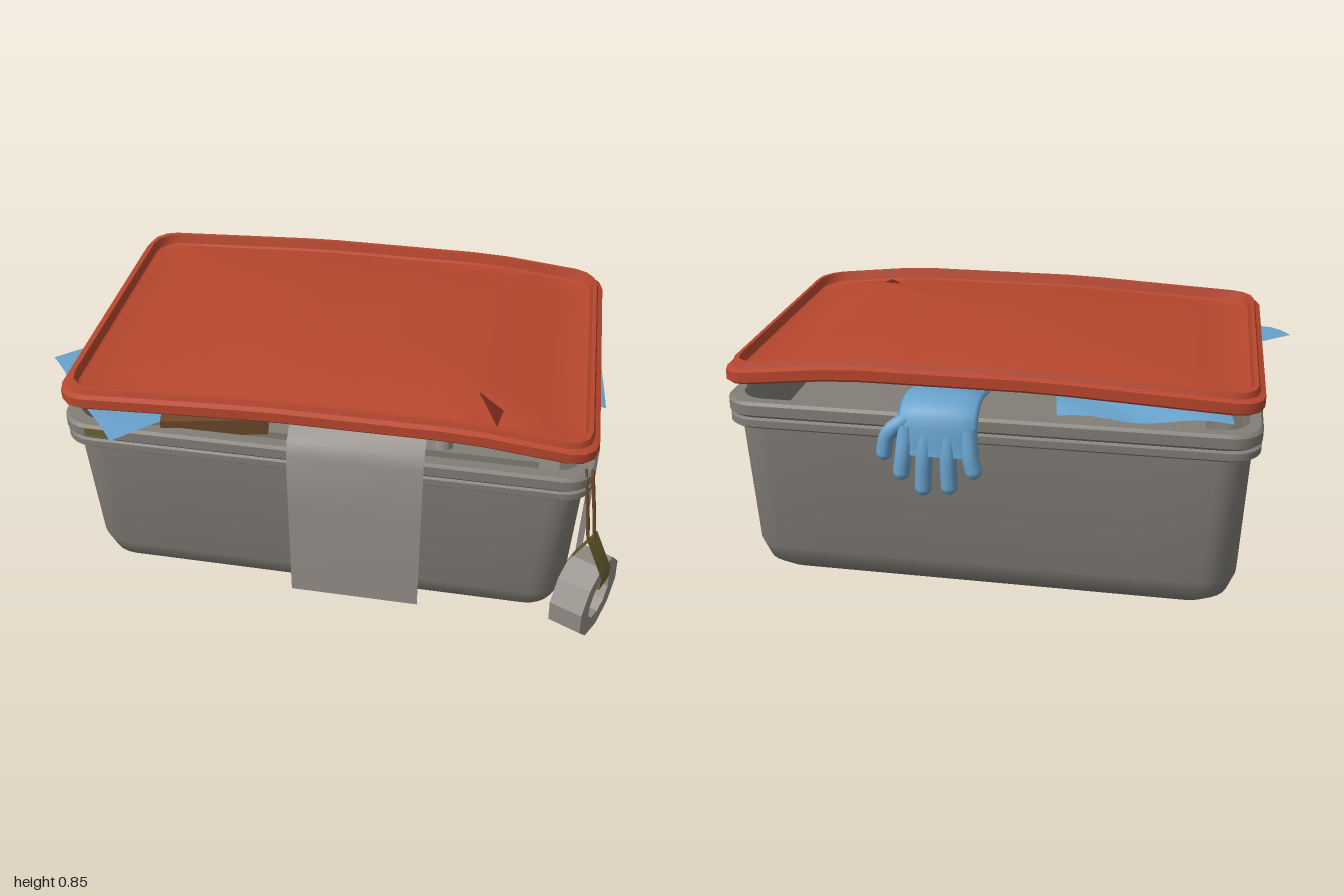
import * as THREE from 'three';
import { toCreasedNormals } from 'three/addons/utils/BufferGeometryUtils.js';

const mat = (name, hex, double = false) => {
  const m = new THREE.MeshStandardMaterial({ color: hex });
  m.name = name;
  if (double) m.side = THREE.DoubleSide;
  return m;
};
const V = (x, y, z) => new THREE.Vector3(x, y, z);
const CX = -0.015, CZ = -0.015;

// Rounded rectangle outline, with the straight sides subdivided
function outline(hx, hz, r, arc, side) {
  const corners = [[1, 1], [-1, 1], [-1, -1], [1, -1]], pts = [];
  corners.forEach(([sx, sz], k) => {
    for (let i = 0; i <= arc; i++) {
      const a = (k + i / arc) * Math.PI / 2;
      pts.push([sx * (hx - r) + Math.cos(a) * r, sz * (hz - r) + Math.sin(a) * r]);
    }
    const [nx, nz] = corners[(k + 1) % 4];
    const last = pts[pts.length - 1], a = (k + 1) * Math.PI / 2;
    const next = [nx * (hx - r) + Math.cos(a) * r, nz * (hz - r) + Math.sin(a) * r];
    for (let i = 1; i < side; i++) {
      const t = i / side;
      pts.push([last[0] + (next[0] - last[0]) * t, last[1] + (next[1] - last[1]) * t]);
    }
  });
  return pts;
}

// Skin over rounded rectangles [hx, hz, radius, y]; bend lifts points by x
function loft(rings, arc, side, crease, bend = () => 0) {
  const pos = [], idx = [];
  let n = 0;
  for (const [hx, hz, r, y] of rings) {
    const pts = outline(hx, hz, r, arc, side);
    n = pts.length;
    for (const [x, z] of pts) pos.push(x + CX, y + bend(x + CX), z + CZ);
  }
  for (let i = 0; i < rings.length - 1; i++) for (let j = 0; j < n; j++) {
    const a = i * n + j, b = i * n + (j + 1) % n, c = a + n, d = b + n;
    idx.push(a, c, b, b, c, d);
  }
  const g = new THREE.BufferGeometry();
  g.setAttribute('position', new THREE.Float32BufferAttribute(pos, 3));
  g.setIndex(idx);
  return toCreasedNormals(g, crease);
}

// Flat band along a path, widened by the vector w
function ribbon(path, w) {
  const pos = [], idx = [];
  path.forEach((p, i) => {
    pos.push(p.x, p.y, p.z, p.x + w.x, p.y + w.y, p.z + w.z);
    const a = i * 2;
    if (i) idx.push(a - 2, a - 1, a, a - 1, a + 1, a);
  });
  const g = new THREE.BufferGeometry();
  g.setAttribute('position', new THREE.Float32BufferAttribute(pos, 3));
  g.setIndex(idx);
  return toCreasedNormals(g, 0.9);
}

// Rippled sheet between four corners
function sheet(a, b, c, d, ripple) {
  const g = new THREE.PlaneGeometry(1, 1, 10, 10), p = g.attributes.position;
  for (let i = 0; i < p.count; i++) {
    const u = p.getX(i) + 0.5, v = p.getY(i) + 0.5;
    const q = a.clone().lerp(b, u).lerp(d.clone().lerp(c, u), v);
    p.setXYZ(i, q.x, q.y + ripple * Math.sin(u * 9) * Math.sin(v * 7 + 1), q.z);
  }
  g.computeVertexNormals();
  return g;
}

// The lid is raised across its middle
function lidBend(x) {
  const k = [[-0.9, 0], [-0.2, 0.035], [0.45, 0.035], [0.87, -0.01]];
  for (let i = 1; i < k.length; i++) if (x <= k[i][0]) {
    const t = (x - k[i - 1][0]) / (k[i][0] - k[i - 1][0]);
    return k[i - 1][1] + t * (k[i][1] - k[i - 1][1]);
  }
  return k[3][1];
}

export function createModel() {
  const model = new THREE.Group();
  model.name = 'storageBox';
  const grey = mat('boxGrey', 0x827e77, true);
  const pale = mat('tapeGrey', 0x96908a, true);
  const red = mat('lidRed', 0xb8472e);
  const darkRed = mat('tearDarkRed', 0x6e2518, true);
  const blue = mat('clothBlue', 0x68a2cc, true);
  const olive = mat('strapOlive', 0x6b6230, true);
  const brown = mat('wireBrown', 0x6e4a2c);
  const add = (name, geo, m, parent = model) => {
    const mesh = new THREE.Mesh(geo, m);
    mesh.name = name;
    parent.add(mesh);
    return mesh;
  };

  // Tub with rounded foot, hollow inside
  add('tub', loft([
    [0, 0, 0, 0], [0.71, 0.39, 0.07, 0], [0.765, 0.44, 0.09, 0.015], [0.81, 0.48, 0.11, 0.05],
    [0.835, 0.5, 0.12, 0.12], [0.85, 0.52, 0.11, 0.585], [0.82, 0.49, 0.09, 0.585],
    [0.8, 0.47, 0.09, 0.1], [0.7, 0.38, 0.08, 0.02], [0, 0, 0, 0.02],
  ], 6, 6, 0.7), grey);

  // Two-step rim
  add('rim', loft([
    [0.82, 0.49, 0.09, 0.585], [0.868, 0.534, 0.1, 0.585], [0.876, 0.541, 0.1, 0.592], [0.876, 0.541, 0.1, 0.616],
    [0.865, 0.531, 0.1, 0.622], [0.87, 0.537, 0.1, 0.625], [0.878, 0.543, 0.1, 0.633], [0.878, 0.543, 0.1, 0.668],
    [0.87, 0.535, 0.1, 0.678], [0.835, 0.5, 0.09, 0.678], [0.82, 0.49, 0.09, 0.585],
  ], 6, 2, 0.6), grey);

  // Warped lid with a raised lip and a domed panel
  const lid = [];
  const dome = (s, y) => [0.82 * s, 0.49 * s, 0.07 * s, y + 0.04 * (1 - s * s)];
  for (let i = 0; i <= 6; i++) lid.push(dome(i / 6, 0.75));
  lid.push([0.85, 0.52, 0.08, 0.74], [0.868, 0.538, 0.09, 0.74], [0.875, 0.545, 0.09, 0.748],
    [0.875, 0.545, 0.09, 0.782], [0.858, 0.528, 0.085, 0.789], [0.852, 0.522, 0.08, 0.808],
    [0.838, 0.508, 0.08, 0.808], [0.83, 0.5, 0.075, 0.775]);
  for (let i = 6; i >= 0; i--) lid.push(dome(i / 6, 0.77));
  add('lid', loft(lid, 3, 12, 0.6, lidBend), red);

  // Small tear in the lid panel
  const tear = (x, z) => V(x, 0.772 + 0.04 * (1 - Math.max(Math.abs((x - CX) / 0.82), Math.abs((z - CZ) / 0.49)) ** 2) + lidBend(x) + 0.004, z);
  add('lidTear', ribbon([tear(0.47, 0.32), tear(0.55, 0.385)], V(0.07, -0.002, 0.07).multiplyScalar(0.8)).scale(1, 1, 1), darkRed)
    .geometry = new THREE.BufferGeometry().setFromPoints([tear(0.47, 0.32), tear(0.54, 0.46), tear(0.555, 0.385)]);
  model.getObjectByName('lidTear').geometry.computeVertexNormals();

  // Wide bands folded over the rim
  add('frontBand', ribbon([V(-0.12, 0.77, 0.25), V(-0.12, 0.768, 0.38), V(-0.12, 0.74, 0.46), V(-0.12, 0.7, 0.515),
    V(-0.12, 0.65, 0.535), V(-0.12, 0.4, 0.535), V(-0.12, 0.04, 0.53)], V(0.445, 0, 0)), pale);
  add('sideBand', ribbon([V(0.5, 0.745, 0.13), V(0.74, 0.735, 0.13), V(0.83, 0.71, 0.13),
    V(0.872, 0.66, 0.13), V(0.87, 0.4, 0.13), V(0.865, 0.015, 0.13)], V(0, 0, 0.21)), pale);

  // Tape roll hanging at the corner
  const axis = V(0.91, 0, 0.41).normalize();
  const rollProfile = [[0.078, -0.057], [0.145, -0.057], [0.145, 0.057], [0.078, 0.057], [0.078, -0.057]];
  const roll = add('tapeRoll', toCreasedNormals(new THREE.LatheGeometry(
    rollProfile.map(([x, y]) => new THREE.Vector2(x, y)), 10), 0.3), pale);
  roll.quaternion.setFromUnitVectors(V(0, 1, 0), axis);
  roll.position.set(0.88, 0.18, 0.495);

  // Strap looped through the roll
  const across = V(-axis.z, 0, axis.x).multiplyScalar(0.07);
  const strapAt = (side, y) => V(0.88, y, 0.5).addScaledVector(axis, side).addScaledVector(across, -0.5);
  add('strap', ribbon([strapAt(0, 0.43), strapAt(-0.066, 0.3), strapAt(-0.064, 0.25), strapAt(0, 0.24),
    strapAt(0.064, 0.25), strapAt(0.066, 0.3), strapAt(0, 0.43)], across), olive);

  // Wire hook from the strap to the rim
  [0, 0.02].forEach((o) => {
    const loop = new THREE.CatmullRomCurve3([V(0.885 - o, 0.435, 0.445), V(0.868 - o, 0.56, 0.457), V(0.85 - o, 0.68, 0.47),
      V(0.85 - o, 0.68, 0.49), V(0.868 - o, 0.56, 0.51), V(0.885 - o, 0.435, 0.525)], true, 'catmullrom', 0.1);
    add('wireHook', new THREE.TubeGeometry(loop, 36, 0.005, 6, true), brown);
  });

  // Cloths spilling out under the lid
  add('frontCloth', sheet(V(-1, 0.735, 0.25), V(-0.68, 0.69, 0.61), V(-0.14, 0.715, 0.1), V(-0.42, 0.74, -0.25), 0.012), blue);
  add('sideCloth', sheet(V(0.48, 0.745, 0.25), V(0.885, 0.7, 0.17), V(0.85, 0.695, -0.4), V(0.45, 0.74, -0.42), 0.015), blue);
  add('backCloth', sheet(V(-0.8, 0.705, -0.53), V(-0.25, 0.695, -0.54), V(-0.2, 0.745, -0.2), V(-0.75, 0.735, -0.2), 0.012), blue);

  // Glove draped over the back rim
  const glove = new THREE.Group();
  glove.name = 'glove';
  model.add(glove);
  const palmPath = new THREE.CatmullRomCurve3([V(0, 0.7, -0.38), V(0, 0.725, -0.53), V(0, 0.695, -0.595), V(0, 0.57, -0.625)]);
  add('palm', new THREE.TubeGeometry(palmPath, 16, 0.025, 14).scale(5.2, 1, 1).translate(0.12, 0, 0), blue, glove);
  const fingers = [[0.02, 0, 0.5], [0.085, 0.08, 0.44], [0.155, 0.165, 0.43], [0.22, 0.235, 0.48]];
  const finger = (pts, r) => {
    add('finger', new THREE.TubeGeometry(new THREE.CatmullRomCurve3(pts), 10, r, 10), blue, glove);
    const tip = pts[pts.length - 1];
    add('fingerTip', new THREE.SphereGeometry(r, 10, 8).translate(tip.x, tip.y, tip.z), blue, glove);
  };
  for (const [x0, x1, y] of fingers) {
    finger([V(x0, 0.66, -0.605), V((x0 + x1) / 2, 0.57, -0.628), V(x1, y + 0.03, -0.632)], 0.028);
  }
  finger([V(0.22, 0.68, -0.595), V(0.28, 0.63, -0.61), V(0.295, 0.565, -0.615)], 0.026);

  // Contents under the lid
  const box = (name, w, h, d, x, y, z, turn, m) => {
    const b = add(name, new THREE.BoxGeometry(w, h, d), m);
    b.position.set(x, y, z);
    b.rotation.y = turn;
  };
  box('carton', 0.22, 0.5, 0.28, -0.22, 0.505, 0.15, 0.3, pale);
  box('packet', 0.3, 0.4, 0.25, 0.2, 0.52, -0.25, -0.2, pale);
  box('book', 0.35, 0.06, 0.25, -0.4, 0.675, 0.34, 0.2, brown);
  box('bundle', 1.4, 0.08, 0.8, CX, 0.58, CZ, 0, grey);
  for (const [x, z] of [[0.37, 0.35], [0.44, 0.28]]) {
    add('bottle', new THREE.CylinderGeometry(0.02, 0.06, 0.3, 12), pale).position.set(x, 0.56, z);
  }

  // Stains on the rim and underside
  box('rimStain', 0.08, 0.03, 0.006, -0.76, 0.652, 0.526, 0, olive);
  box('rimStain', 0.006, 0.025, 0.04, 0.863, 0.655, -0.44, 0, olive);
  for (const [x, z] of [[0.68, 0.18], [0.15, -0.385], [-0.5, -0.38]]) {
    add('underStain', new THREE.CylinderGeometry(0.035, 0.035, 0.004, 8), olive).position.set(x, 0, z);
  }
  return model;
}
